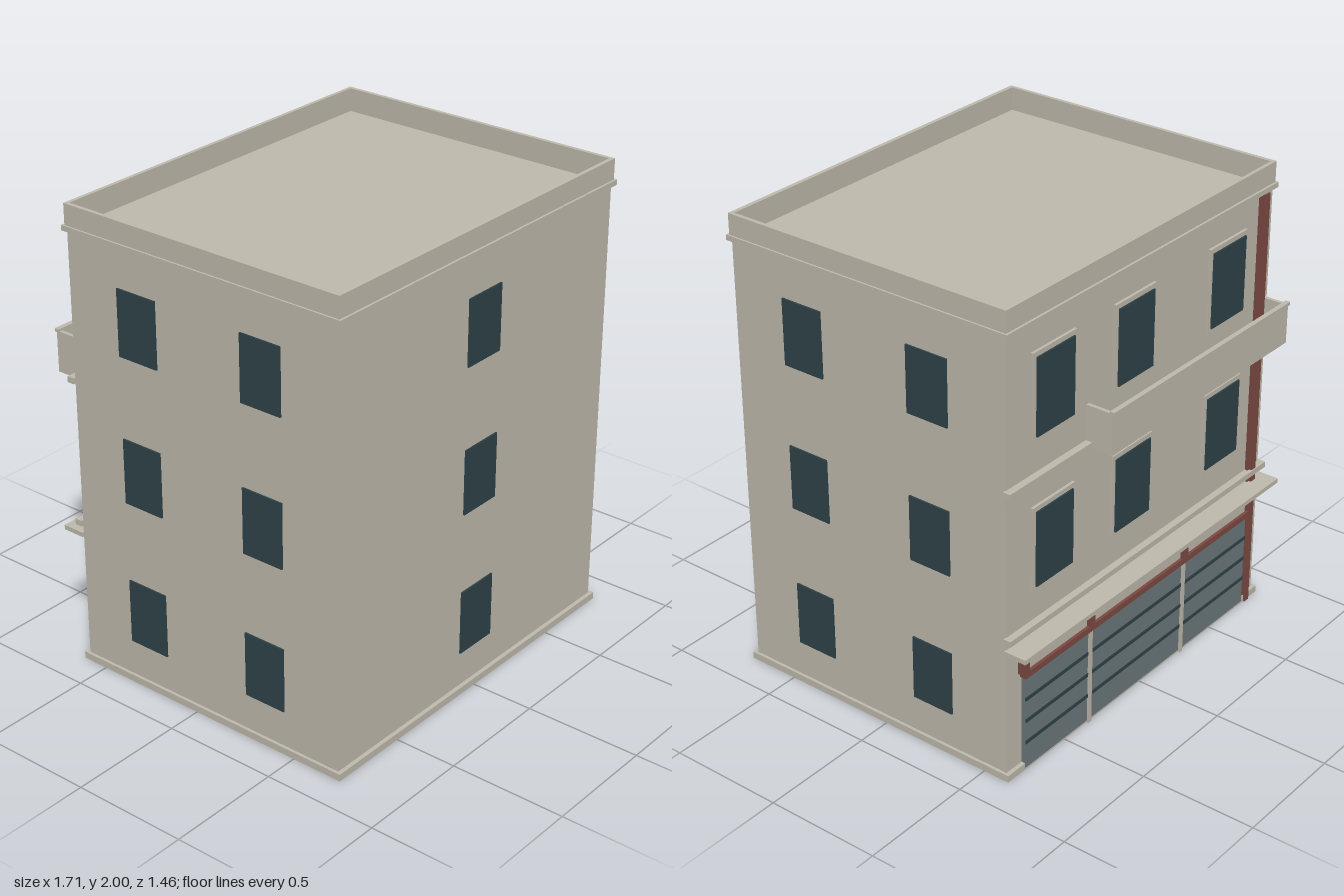
import * as THREE from 'three';

const material = (name, color) => {
  const m = new THREE.MeshStandardMaterial({ color });
  m.name = name;
  return m;
};

export function createModel() {
  const wall = material('stone wall', 0xc0bbae);
  const glass = material('dark glass', 0x2f4349);
  const red = material('red paint', 0x7d4a43);
  const steel = material('shutter steel', 0x6c797c);

  const model = new THREE.Group();
  model.name = 'building';

  // Box given by its low and high limits on each axis
  const block = (name, mat, x0, x1, y0, y1, z0, z1, parent = model) => {
    const mesh = new THREE.Mesh(new THREE.BoxGeometry(x1 - x0, y1 - y0, z1 - z0), mat);
    mesh.position.set((x0 + x1) / 2, (y0 + y1) / 2, (z0 + z1) / 2);
    mesh.name = name;
    parent.add(mesh);
    return mesh;
  };
  const group = (name) => {
    const g = new THREE.Group();
    g.name = name;
    model.add(g);
    return g;
  };

  // Main body, plinth and cornice
  const back = -0.6;
  block('body', wall, -0.84, 0.84, 0.01, 1.9, back, 0.71);
  block('plinth', wall, -0.853, 0.853, 0, 0.03, -0.618, 0.728);

  // Rectangular ring, extruded upwards
  const ring = (name, x, zBack, zFront, ix, izBack, izFront, y, height) => {
    const rect = (C, a, b, c) => {
      const p = new C();
      p.moveTo(-a, -b).lineTo(a, -b).lineTo(a, -c).lineTo(-a, -c).closePath();
      return p;
    };
    const shape = rect(THREE.Shape, x, zFront, zBack);
    shape.holes.push(rect(THREE.Path, ix, izFront, izBack));
    const geo = new THREE.ExtrudeGeometry(shape, { depth: height, bevelEnabled: false });
    geo.rotateX(-Math.PI / 2);
    const mesh = new THREE.Mesh(geo, wall);
    mesh.position.y = y;
    mesh.name = name;
    model.add(mesh);
  };
  ring('parapet', 0.845, -0.608, 0.718, 0.828, -0.592, 0.7, 1.89, 0.11);
  ring('cornice', 0.853, -0.618, 0.728, 0.835, -0.595, 0.705, 1.89, 0.022);

  // Plain windows on the front and both sides, on three floors
  const plainWindows = group('plainWindows');
  for (const y of [0.195, 0.823, 1.452]) {
    const top = y + 0.28;
    block('frontWindow', glass, -0.1, 0.098, y, top, 0.722, 0.729, plainWindows);
    for (const [z0, z1] of [[0.263, 0.453], [-0.342, -0.151]]) {
      block('leftWindow', glass, 0.848, 0.855, y, top, z0, z1, plainWindows);
      block('rightWindow', glass, -0.855, -0.848, y, top, z0, z1, plainWindows);
    }
  }

  // Framed windows on the back
  const framedWindows = group('framedWindows');
  for (const y of [0.78, 1.415]) {
    for (const x of [0.57, 0.08, -0.53]) {
      block('windowFrame', wall, x - 0.127, x + 0.127, y, y + 0.362, -0.612, back, framedWindows);
      block('windowPane', glass, x - 0.11, x + 0.11, y + 0.02, y + 0.342, -0.619, -0.611, framedWindows);
    }
  }

  // String courses and shop canopy
  block('lowerBand', wall, -0.853, 0.853, 0.625, 0.65, -0.63, -0.597);
  block('upperBand', wall, -0.853, 0.853, 1.255, 1.28, -0.63, -0.597);
  block('canopy', wall, -0.85, 0.85, 0.575, 0.595, -0.698, -0.597);

  // Balcony: floor, front panel, ends and rail
  const balcony = group('balcony');
  block('balconyFloor', wall, -0.808, 0.366, 1.255, 1.28, -0.722, back, balcony);
  block('balconyFront', wall, -0.808, 0.366, 1.255, 1.43, -0.722, -0.71, balcony);
  block('balconyRail', wall, -0.81, 0.368, 1.425, 1.439, -0.73, -0.709, balcony);
  for (const x of [-0.808, 0.35]) {
    block('balconyEnd', wall, x, x + 0.016, 1.255, 1.43, -0.722, back, balcony);
  }

  // Tall red pilaster
  block('pilasterBase', red, -0.795, -0.745, 0.03, 1.89, -0.614, back);
  block('pilasterCore', red, -0.787, -0.757, 0, 1.89, -0.625, back);

  // Shop front: three slatted shutters under sign panels
  const shop = group('shopFront');
  const edges = [-0.745, -0.28, 0.347, 0.757];
  for (let i = 0; i < 3; i++) {
    const x0 = edges[i] + 0.008, x1 = edges[i + 1] - 0.008;
    block('shutter', steel, x0, x1, 0.01, 0.43, -0.62, back, shop);
    for (let k = 1; k < 4; k++) {
      const y = 0.03 + k * 0.1;
      block('shutterGroove', glass, x0, x1, y - 0.008, y + 0.008, -0.623, -0.618, shop);
    }
    block('signPanel', wall, x0, x1, 0.455, 0.55, -0.615, back, shop);
  }
  block('signLowerBar', red, edges[0], edges[3], 0.43, 0.457, -0.628, back, shop);
  block('signUpperBar', red, edges[0], edges[3], 0.545, 0.56, -0.628, back, shop);
  edges.forEach((x, i) => {
    if (i > 0) block('signPost', red, x - 0.012, x + 0.012, 0.45, 0.55, -0.637, back, shop);
    if (i > 0 && i < 3) block('shutterPost', wall, x - 0.01, x + 0.01, 0, 0.43, -0.627, back, shop);
  });

  return model;
}
